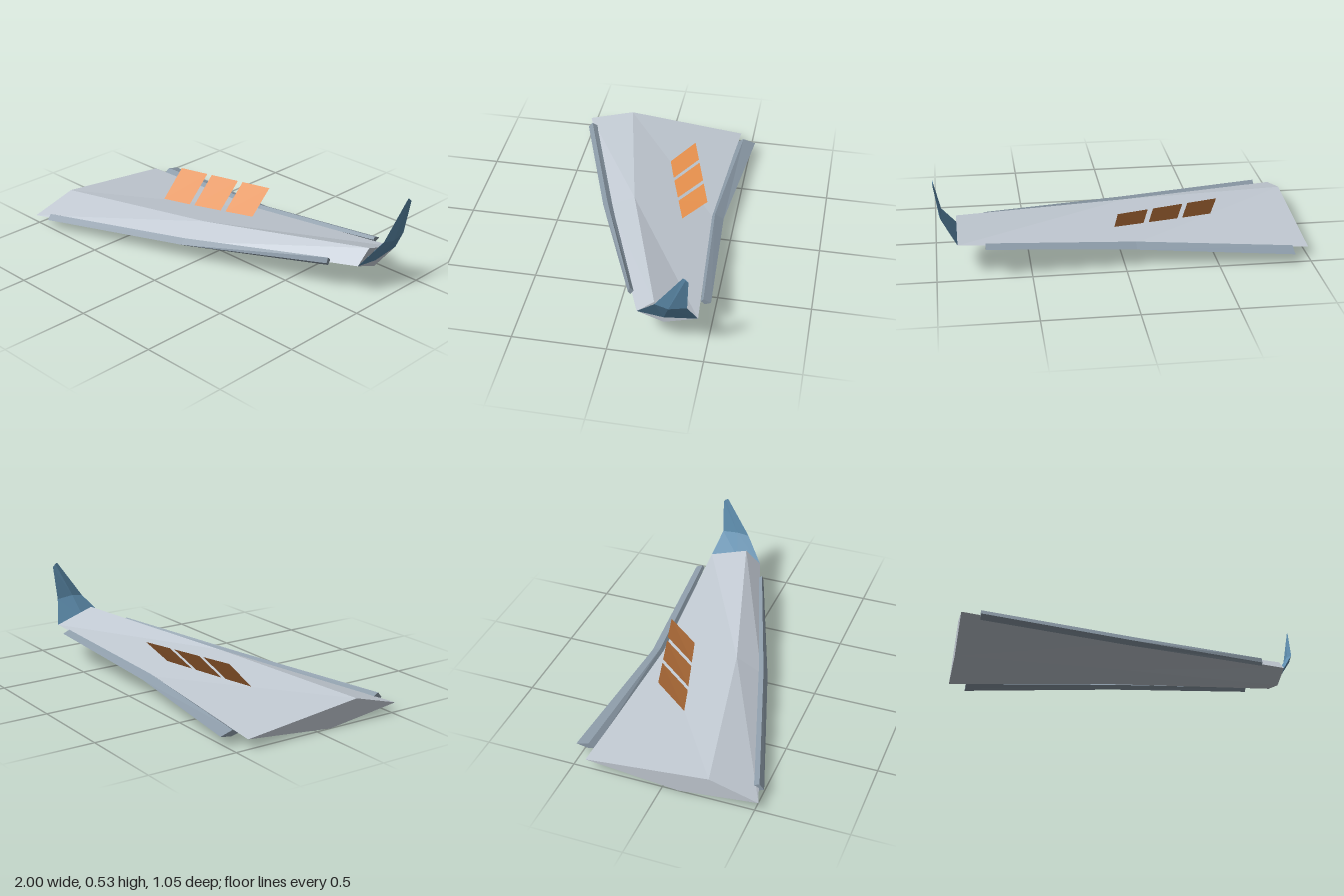
import * as THREE from 'three';

const material = (name, color) => {
  const m = new THREE.MeshStandardMaterial({ color, side: THREE.DoubleSide, flatShading: true });
  m.name = name;
  return m;
};

// Closed loft through four-point sections: leading, upper, trailing, lower.
// Each section is { x, p: [[z, y], ...] } or a list of [x, y, z] points.
function loft(name, sections, mat) {
  const rings = sections.map((s) => (s.p ? s.p.map(([z, y]) => [s.x, y, z]) : s));
  const pos = [];
  const tri = (a, b, c) => pos.push(...a, ...b, ...c);
  for (let s = 0; s < rings.length - 1; s++) {
    const a = rings[s], b = rings[s + 1];
    for (let i = 0; i < 4; i++) {
      const j = (i + 1) % 4;
      tri(a[i], b[i], b[j]);
      tri(a[i], b[j], a[j]);
    }
  }
  const a = rings[0], b = rings[rings.length - 1];
  tri(a[0], a[1], a[2]);
  tri(a[0], a[2], a[3]);
  tri(b[0], b[2], b[1]);
  tri(b[0], b[3], b[2]);
  const geo = new THREE.BufferGeometry();
  geo.setAttribute('position', new THREE.Float32BufferAttribute(pos, 3));
  geo.computeVertexNormals();
  const mesh = new THREE.Mesh(geo, mat);
  mesh.name = name;
  return mesh;
}

export function createModel() {
  const group = new THREE.Group();
  group.name = 'aircraftWing';
  const skin = material('paleGrey', 0xc2cad3);
  const slate = material('slateGrey', 0x8c9ba8);
  const blue = material('steelBlue', 0x5f8fb0);
  const orange = material('orange', 0xe08c4a);

  // Main wing panel: root, kink and tip
  group.add(loft('wing', [
    { x: -1, p: [[0.52, 0.053], [0.255, 0.128], [-0.43, 0.053], [0.087, 0]] },
    { x: -0.06, p: [[0.205, 0.107], [0.06, 0.18], [-0.385, 0.107], [-0.05, 0.053]] },
    { x: 0.885, p: [[-0.135, 0.18], [-0.225, 0.255], [-0.45, 0.18], [-0.275, 0.13]] },
  ], skin));

  // Leading edge slat
  group.add(loft('slat', [
    { x: -0.9, p: [[0.515, 0.055], [0.49, 0.085], [0.452, 0.066], [0.475, 0.038]] },
    { x: -0.06, p: [[0.242, 0.1], [0.218, 0.132], [0.19, 0.115], [0.21, 0.083]] },
    { x: 0.735, p: [[-0.06, 0.17], [-0.07, 0.2], [-0.09, 0.182], [-0.073, 0.155]] },
  ], slate));

  // Trailing edge flap
  group.add(loft('flap', [
    { x: -0.905, p: [[-0.42, 0.055], [-0.455, 0.078], [-0.527, 0.057], [-0.465, 0.045]] },
    { x: -0.06, p: [[-0.378, 0.1], [-0.4, 0.125], [-0.45, 0.1], [-0.41, 0.085]] },
    { x: 0.74, p: [[-0.442, 0.172], [-0.455, 0.186], [-0.495, 0.168], [-0.462, 0.154]] },
  ], slate));

  // Upswept winglet
  group.add(loft('winglet', [
    [[0.885, 0.18, -0.135], [0.88, 0.196, -0.28], [0.885, 0.18, -0.45], [0.89, 0.165, -0.275]],
    [[0.966, 0.312, -0.24], [0.958, 0.325, -0.31], [0.966, 0.312, -0.405], [0.974, 0.297, -0.312]],
    [[0.998, 0.527, -0.385], [0.995, 0.52, -0.398], [0.998, 0.505, -0.413], [1, 0.515, -0.398]],
  ], blue));

  // Three raised spoilers, hinged at the front along a swept line
  const spoilers = new THREE.Group();
  spoilers.name = 'spoilers';
  for (const x0 of [-0.53, -0.333, -0.135]) {
    const pos = [];
    const corner = (x, up) => [
      x,
      up ? 0.272 + 0.005 * (x + 0.53) : 0.12 + 0.025 * (x + 0.53),
      -0.067 - 0.275 * (x + 0.53) - (up ? 0.145 : 0),
    ];
    const x1 = x0 + 0.168;
    pos.push(...corner(x0, false), ...corner(x1, false), ...corner(x1, true), ...corner(x0, true));
    const geo = new THREE.BufferGeometry();
    geo.setAttribute('position', new THREE.Float32BufferAttribute(pos, 3));
    geo.setIndex([0, 1, 2, 0, 2, 3]);
    geo.computeVertexNormals();
    const panel = new THREE.Mesh(geo, orange);
    panel.name = 'spoiler';
    spoilers.add(panel);
  }
  group.add(spoilers);
  return group;
}
